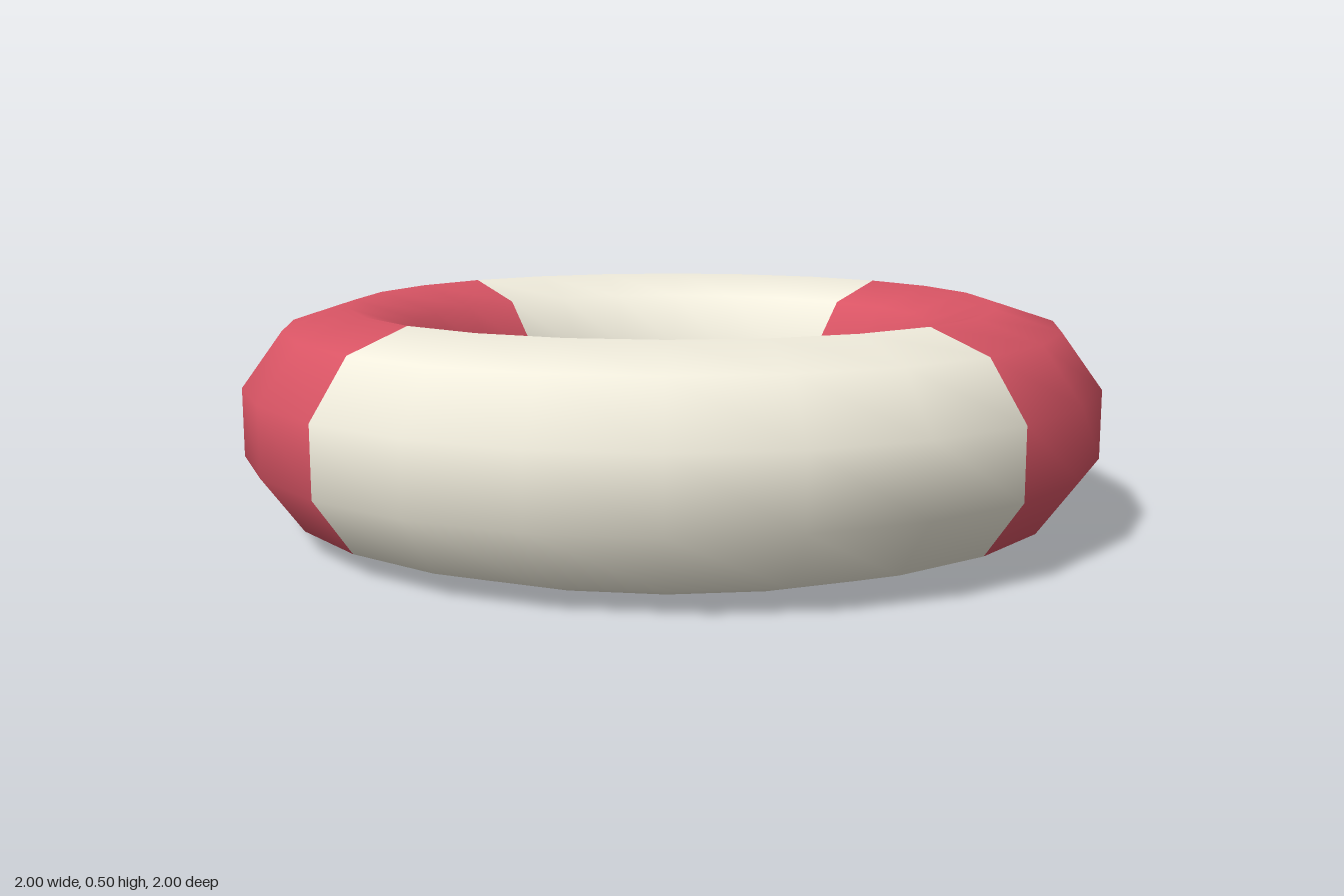
import * as THREE from 'three';

const TUBE = 0.2525; // tube radius
const RING = 0.76;   // ring radius
const SIDES = 10;

// Quarter of the ring, starting at the given angle from +z towards +x
function quarter(start) {
  const profile = [];
  for (let i = 0; i <= SIDES; i++) {
    const a = -Math.PI / 2 + (i / SIDES) * Math.PI * 2;
    profile.push(new THREE.Vector2(RING + TUBE * Math.cos(a), TUBE * Math.sin(a)));
  }
  const geometry = new THREE.LatheGeometry(profile, 6, start, Math.PI / 2);

  // Smooth normals pointing away from the tube's centre line
  const { position, normal } = geometry.attributes;
  const p = new THREE.Vector3();
  const centre = new THREE.Vector3();
  for (let i = 0; i < position.count; i++) {
    p.fromBufferAttribute(position, i);
    centre.set(p.x, 0, p.z).setLength(RING);
    p.sub(centre).normalize();
    normal.setXYZ(i, p.x, p.y, p.z);
  }
  return geometry;
}

export function createModel() {
  const group = new THREE.Group();
  group.name = 'lifeRing';
  const white = new THREE.MeshStandardMaterial({ color: 0xf0ecdc });
  const red = new THREE.MeshStandardMaterial({ color: 0xd85464 });

  // Four alternating white and red quarters
  for (let i = 0; i < 4; i++) {
    const mesh = new THREE.Mesh(quarter((i * Math.PI) / 2), i % 2 ? red : white);
    mesh.name = (i % 2 ? 'redQuarter' : 'whiteQuarter') + (i < 2 ? 'Left' : 'Right');
    mesh.position.y = TUBE;
    group.add(mesh);
  }
  return group;
}
